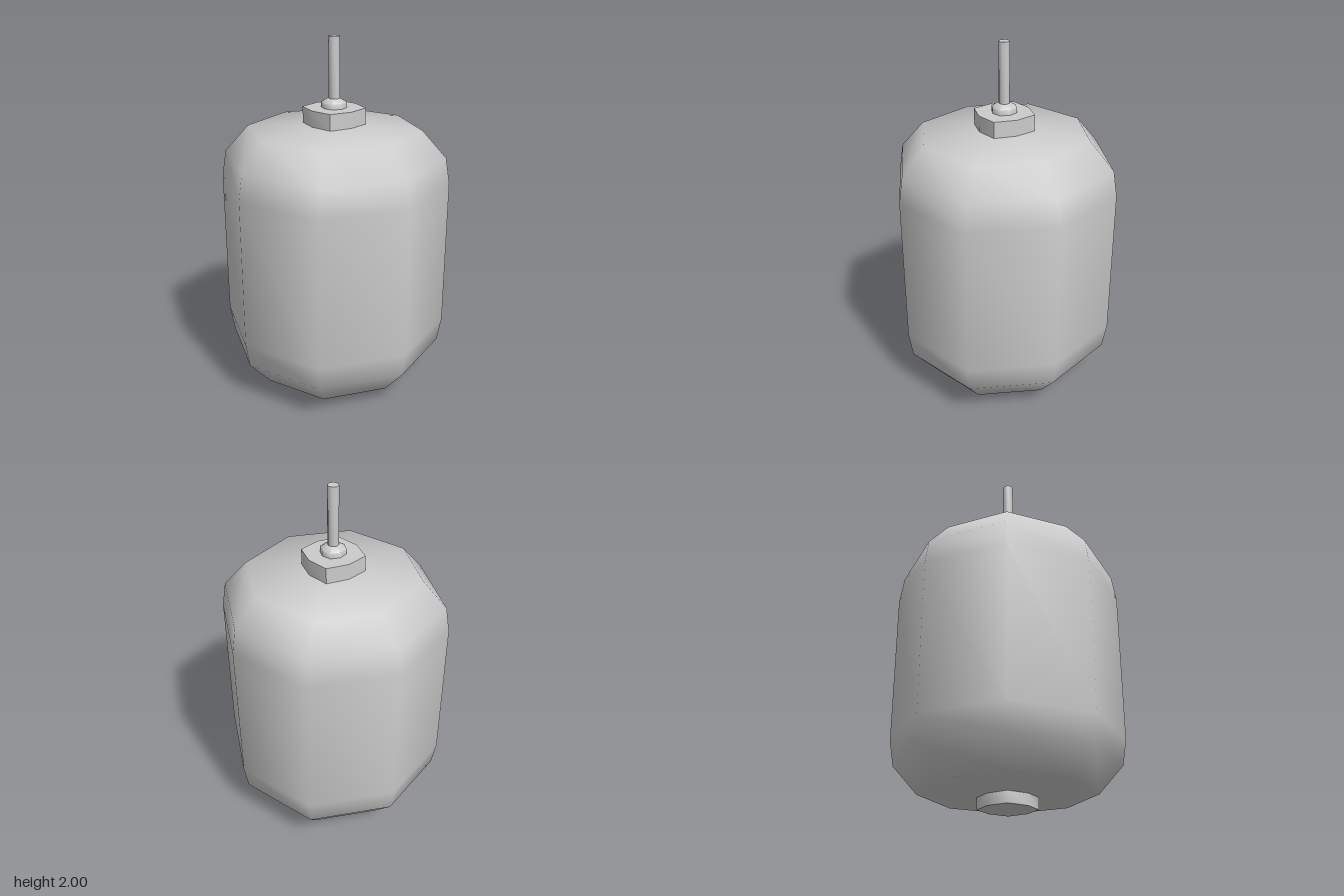
import * as THREE from 'three';
import { toCreasedNormals } from 'three/addons/utils/BufferGeometryUtils.js';

const material = new THREE.MeshStandardMaterial({ color: 0xcccccc });

// Eight-sided turned part; profile runs bottom to top as [radius, y].
// diagonal scales the four corners lying between the x and z axes.
function turned(name, profile, diagonal) {
  const points = profile.map(([r, y]) => new THREE.Vector2(r, y));
  const geometry = new THREE.LatheGeometry(points, 8);
  const pos = geometry.attributes.position;
  for (let i = 0; i < pos.count; i++) {
    const x = pos.getX(i), z = pos.getZ(i);
    const k = Math.min(Math.abs(x), Math.abs(z)) > 0.001 ? diagonal : 1;
    pos.setXYZ(i, x * k, pos.getY(i), z * k * 0.99);
  }
  const mesh = new THREE.Mesh(toCreasedNormals(geometry, Math.PI / 3), material);
  mesh.name = name;
  return mesh;
}

export function createModel() {
  const group = new THREE.Group();
  group.name = 'hangingLantern';

  // Rounded lantern body with shallow conical ends
  group.add(turned('body', [
    [0, 0.055], [0.48, 0.08], [0.614, 0.23], [0.638, 0.37],
    [0.638, 1.21], [0.614, 1.355], [0.48, 1.505], [0, 1.545],
  ], 0.975));

  // Foot below the body
  group.add(turned('bottomCap', [[0, 0], [0.163, 0], [0.163, 0.07], [0, 0.07]], 0.9));

  // Collar above the body
  group.add(turned('topCap', [[0, 1.525], [0.172, 1.525], [0.172, 1.62], [0, 1.62]], 0.87));

  // Bevelled nut holding the rod
  group.add(turned('nut', [[0, 1.61], [0.071, 1.61], [0.071, 1.65], [0.035, 1.67], [0, 1.67]], 0.96));

  // Hanging rod
  group.add(turned('rod', [[0, 1.65], [0.031, 1.65], [0.031, 2], [0, 2]], 1));

  return group;
}
